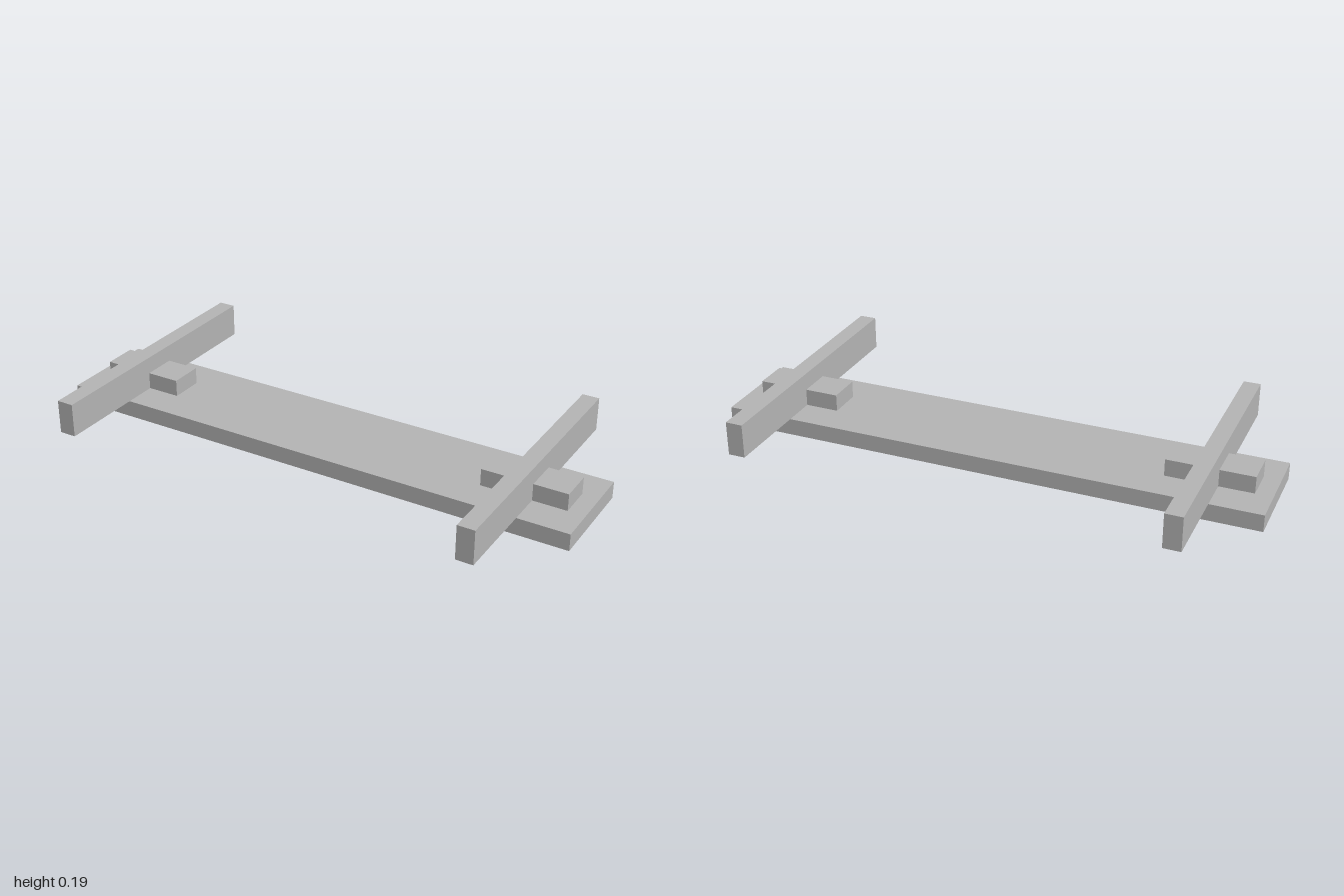
import * as THREE from 'three';

export function createModel() {
  const model = new THREE.Group();
  const grey = new THREE.MeshStandardMaterial({ color: 0xb2b2b2 });
  grey.name = 'plain grey';

  // Box standing on height y, centred on x and z = 0
  const addBox = (name, w, h, d, x, y) => {
    const mesh = new THREE.Mesh(new THREE.BoxGeometry(w, h, d), grey);
    mesh.name = name;
    mesh.position.set(x, y + h / 2, 0);
    model.add(mesh);
  };

  const plankHeight = 0.0625;
  addBox('plank', 2, plankHeight, 0.375, 0, 0);

  // A crossbar held by a low block near each end
  for (const [side, sign] of [['left', 1], ['right', -1]]) {
    const x = sign * 0.78125;
    addBox(side + 'Crossbar', 0.0625, 0.125, 1, x, plankHeight);
    addBox(side + 'Block', 0.3125, 0.0625, 0.125, x, plankHeight);
  }

  return model;
}
